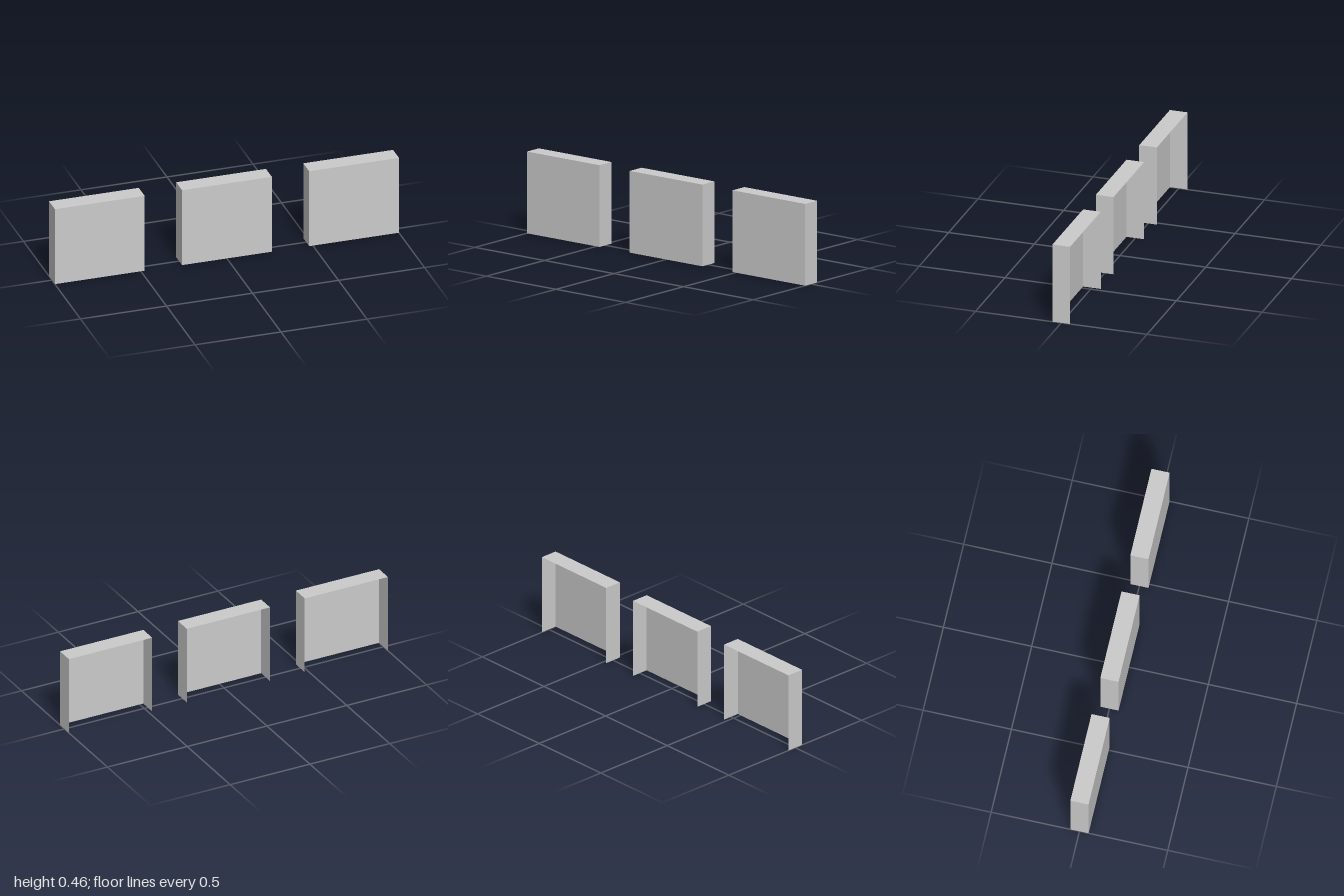
import * as THREE from 'three';

const WIDTH = 0.522, HEIGHT = 0.463, DEPTH = 0.103, SPACING = 0.739;

const material = new THREE.MeshStandardMaterial({
  color: 0xcccccc, flatShading: true, side: THREE.DoubleSide,
});

// One thin sheet, turned to face outwards
function sheet(name, w, h, position, rotation) {
  const mesh = new THREE.Mesh(new THREE.PlaneGeometry(w, h), material);
  mesh.name = name;
  mesh.position.set(...position);
  mesh.rotation.set(...rotation);
  return mesh;
}

// Thin-walled cover, open at the back and the bottom
function createCover(name, x) {
  const cover = new THREE.Group();
  cover.name = name;
  cover.position.x = x;
  cover.add(
    sheet('frontPanel', WIDTH, HEIGHT, [0, HEIGHT / 2, DEPTH / 2], [0, 0, 0]),
    sheet('topPanel', WIDTH, DEPTH, [0, HEIGHT, 0], [-Math.PI / 2, 0, 0]),
  );
  for (const [side, s] of [['left', 1], ['right', -1]]) {
    cover.add(sheet(side + 'SidePanel', DEPTH, HEIGHT,
      [s * WIDTH / 2, HEIGHT / 2, 0], [0, s * Math.PI / 2, 0]));
  }
  return cover;
}

export function createModel() {
  const model = new THREE.Group();
  model.name = 'panelCovers';
  // Three identical covers in a row
  ['rightCover', 'middleCover', 'leftCover'].forEach((name, i) => {
    model.add(createCover(name, (i - 1) * SPACING));
  });
  return model;
}
